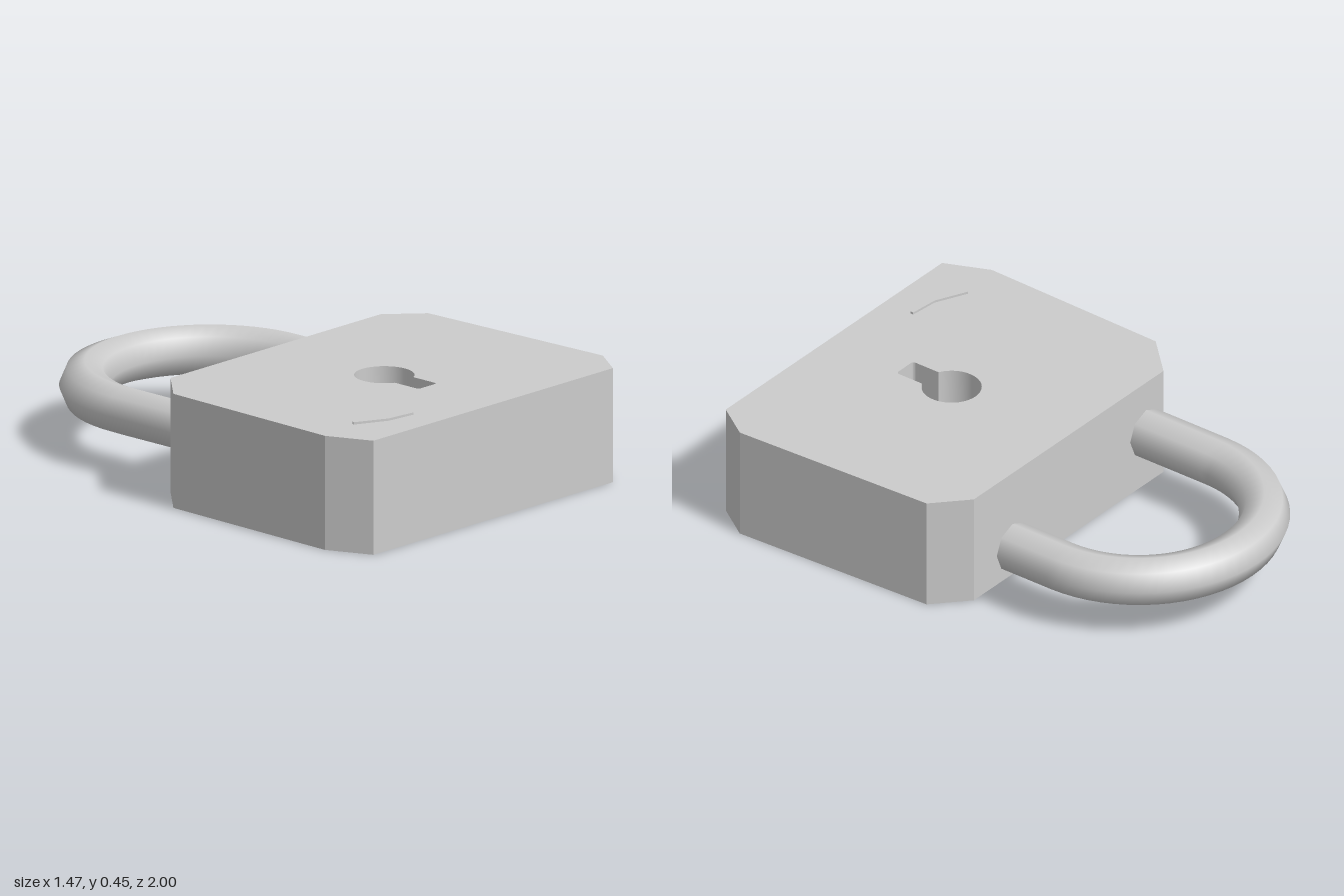
import * as THREE from 'three';
import { toCreasedNormals } from 'three/addons/utils/BufferGeometryUtils.js';

const steel = new THREE.MeshStandardMaterial({ color: 0xcccccc });
steel.name = 'steel grey';

const BODY_HEIGHT = 0.44;

function addMesh(parent, name, geometry) {
  const mesh = new THREE.Mesh(geometry, steel);
  mesh.name = name;
  parent.add(mesh);
  return mesh;
}

// Plan outline given as [x, z] corners
function planShape(corners) {
  return new THREE.Shape(corners.map(([x, z]) => new THREE.Vector2(x, -z)));
}

// Raise a plan shape upwards from y = 0
function raise(shape, depth) {
  const geometry = new THREE.ExtrudeGeometry(shape, { depth, bevelEnabled: false, curveSegments: 16 });
  geometry.rotateX(-Math.PI / 2);
  return toCreasedNormals(geometry, 0.35);
}

// Round hole with a slot below it, cut right through the body
function keyhole() {
  const r = 0.112, half = 0.05, cz = -0.44, end = -0.66, corner = 0.015;
  const a = Math.asin(half / r);
  const hole = new THREE.Path();
  hole.absarc(0, cz, r, -Math.PI / 2 + a, Math.PI * 1.5 - a, false);
  hole.lineTo(-half, end + corner);
  hole.quadraticCurveTo(-half, end, -half + corner, end);
  hole.lineTo(half - corner, end);
  hole.quadraticCurveTo(half, end, half, end + corner);
  hole.closePath();
  return hole;
}

function createBody() {
  const shape = planShape([
    [-0.66, 1], [0.64, 1], [0.735, 0.86], [0.7, 0.01],
    [0.57, -0.11], [-0.57, -0.11], [-0.715, 0.04], [-0.735, 0.825],
  ]);
  shape.holes.push(keyhole());
  return raise(shape, BODY_HEIGHT);
}

function createShackle() {
  const shackle = new THREE.Group();
  shackle.name = 'shackle';
  const tube = 0.095, bend = 0.465, bendZ = -0.44, y = 0.225, sides = 8;

  const arch = new THREE.TorusGeometry(bend, tube, sides, 32, Math.PI);
  arch.rotateX(-Math.PI / 2).translate(0, y, bendZ);
  addMesh(shackle, 'shackleBend', arch);

  // The right leg meets the body, the left one hangs free
  for (const [name, x, endZ] of [['rightLeg', -bend, -0.105], ['leftLeg', bend, -0.21]]) {
    const length = endZ - bendZ;
    const leg = new THREE.CylinderGeometry(tube, tube, length, sides, 1, true);
    leg.rotateX(Math.PI / 2).translate(x, y, bendZ + length / 2);
    addMesh(shackle, name, leg);
    const cap = new THREE.CircleGeometry(tube, sides);
    cap.translate(x, y, endZ);
    addMesh(shackle, name + 'End', cap);
  }
  return shackle;
}

export function createModel() {
  const padlock = new THREE.Group();
  padlock.name = 'padlock';
  addMesh(padlock, 'body', createBody());
  padlock.add(createShackle());

  // Thin raised scratch near the front corner
  const scratch = planShape([
    [-0.555, 0.803], [-0.43, 0.863], [-0.31, 0.876],
    [-0.31, 0.862], [-0.425, 0.851], [-0.55, 0.792],
  ]);
  addMesh(padlock, 'scratch', raise(scratch, 0.009)).position.y = BODY_HEIGHT;
  return padlock;
}
